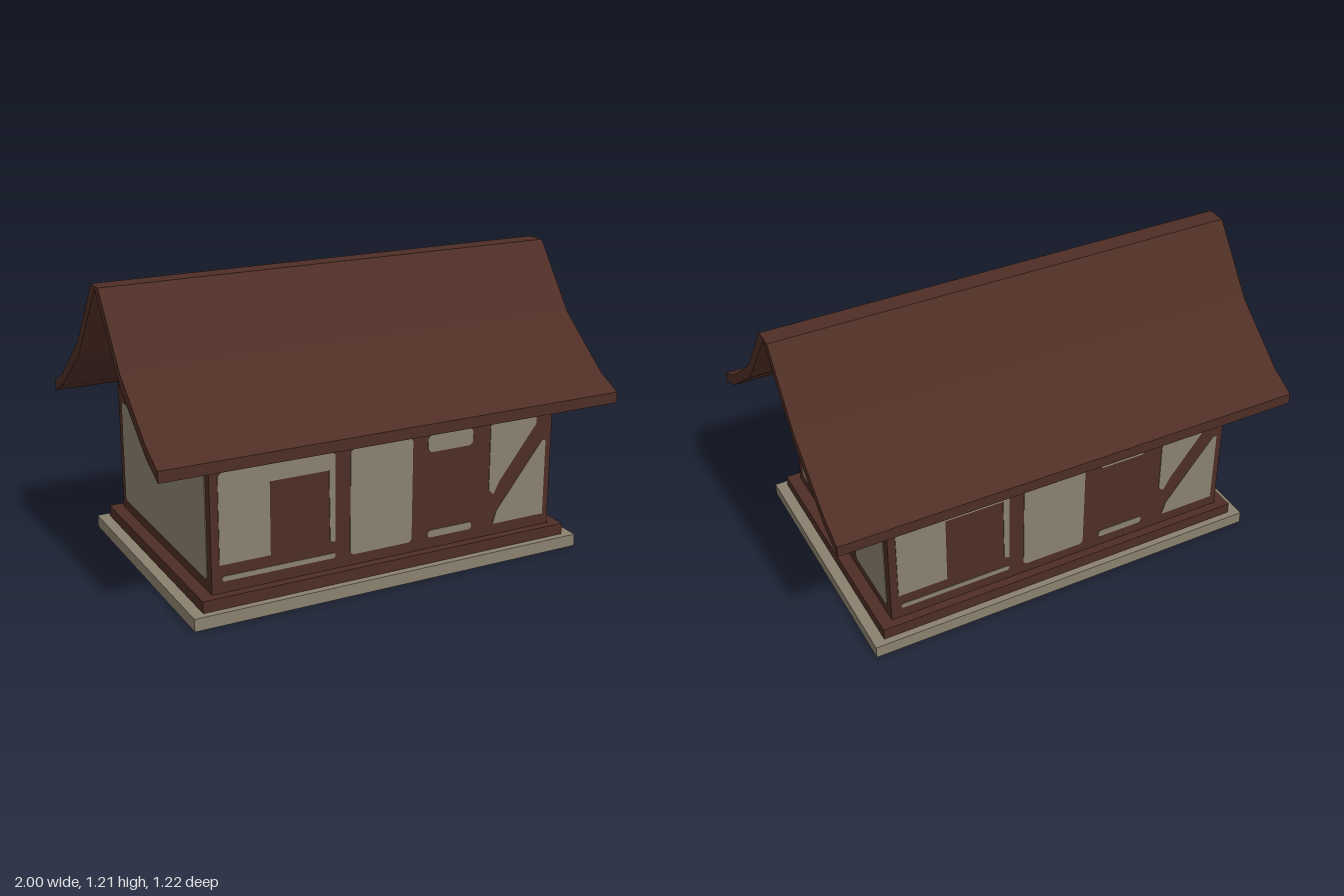
import * as THREE from 'three';

const timber = new THREE.MeshStandardMaterial({ color: 0x4e2e25 });
timber.name = 'dark timber';
const plaster = new THREE.MeshStandardMaterial({ color: 0x8a806f });
plaster.name = 'plaster';

// Mirror a half outline [z, y] into a closed symmetric shape
const mirror = (half) => [...half, ...half.slice().reverse().filter(([a]) => a !== 0).map(([a, b]) => [-a, b])];
const toShape = (pts) => new THREE.Shape(pts.map(([a, b]) => new THREE.Vector2(a, b)));

// Rectangle with softened corners
function rect(x0, x1, y0, y1) {
  const c = Math.min(0.012, (y1 - y0) * 0.3);
  return [[x0 + c, y0], [x1 - c, y0], [x1, y0 + c], [x1, y1 - c], [x1 - c, y1], [x0 + c, y1], [x0, y1 - c], [x0, y0 + c]];
}

function box(name, w, y0, y1, d, material) {
  const mesh = new THREE.Mesh(new THREE.BoxGeometry(w, y1 - y0, d), material);
  mesh.position.y = (y0 + y1) / 2;
  mesh.name = name;
  return mesh;
}

// Extrude a gable outline along the length of the house
function prism(name, pts, length) {
  const geo = new THREE.ExtrudeGeometry(toShape(pts), { depth: length, bevelEnabled: false });
  geo.translate(0, 0, -length / 2).rotateY(Math.PI / 2);
  const mesh = new THREE.Mesh(geo, timber);
  mesh.name = name;
  return mesh;
}

// Thin plaster infill plates on one wall, turned to face outwards
function wallPanels(name, outlines, distance, angle) {
  const group = new THREE.Group();
  group.name = name;
  for (const pts of outlines) {
    const geo = new THREE.ExtrudeGeometry(toShape(pts), { depth: 0.006, bevelEnabled: false });
    const mesh = new THREE.Mesh(geo, plaster);
    mesh.position.z = distance - 0.003;
    mesh.name = 'plasterPanel';
    group.add(mesh);
  }
  group.rotation.y = angle;
  return group;
}

export function createModel() {
  const house = new THREE.Group();
  house.name = 'house';
  const wallX = 0.763, wallZ = 0.496;

  // Stone base and timber sill
  house.add(box('base', 1.724, 0, 0.052, 1.124, plaster));
  house.add(box('sill', 1.63, 0.052, 0.1, 1.066, timber));

  // Walls with gable ends reaching the underside of the roof
  house.add(prism('walls', mirror([[wallZ, 0.1], [wallZ, 0.69], [0.245, 0.882], [0, 1.2]]), wallX * 2));

  // Flared roof with a narrow flat ridge
  const outer = [[0.612, 0.676], [0.5, 0.732], [0.25, 0.934], [0.042, 1.21]];
  const inner = [[0, 1.198], [0.245, 0.88], [0.496, 0.686], [0.612, 0.63]];
  house.add(prism('roof', [
    ...outer, ...outer.slice().reverse().map(([a, b]) => [-a, b]),
    ...inner.slice().reverse().map(([a, b]) => [-a, b]), ...inner.slice(1),
  ], 2));

  // Long walls: door bay, plain bay, window bay and braced bay
  const longWall = [
    [[-0.73, 0.215], [-0.52, 0.215], [-0.52, 0.515], [-0.27, 0.515], [-0.265, 0.22], [-0.243, 0.215],
      [-0.243, 0.575], [-0.255, 0.585], [-0.715, 0.585], [-0.73, 0.57]],
    rect(-0.72, -0.243, 0.147, 0.168),
    rect(-0.177, 0.1, 0.145, 0.585),
    rect(0.17, 0.378, 0.513, 0.585),
    rect(0.175, 0.382, 0.147, 0.178),
    [[0.463, 0.3], [0.485, 0.28], [0.515, 0.335], [0.685, 0.555], [0.685, 0.585], [0.463, 0.585]],
    [[0.487, 0.148], [0.735, 0.148], [0.735, 0.478], [0.72, 0.48], [0.645, 0.385], [0.505, 0.205]],
  ];
  house.add(wallPanels('frontPanels', longWall, wallZ, 0));
  house.add(wallPanels('backPanels', longWall, wallZ, Math.PI));

  // Gable walls: shared upper panels, different ground floors
  const gable = [
    mirror([[0.425, 0.678], [0.405, 0.705], [0.25, 0.822], [0.225, 0.828]]),
    mirror([[0.172, 0.897], [0.165, 0.917], [0.02, 1.12], [0.006, 1.128]]),
  ];
  house.add(wallPanels('leftGablePanels', [
    ...gable,
    rect(-0.455, -0.152, 0.145, 0.59),
    rect(0.147, 0.457, 0.145, 0.59),
    rect(-0.085, 0.08, 0.515, 0.59),
    rect(-0.085, 0.08, 0.147, 0.186),
  ], wallX, Math.PI / 2));
  house.add(wallPanels('rightGablePanels', [
    ...gable,
    rect(-0.455, 0.455, 0.145, 0.59),
  ], wallX, -Math.PI / 2));

  return house;
}
